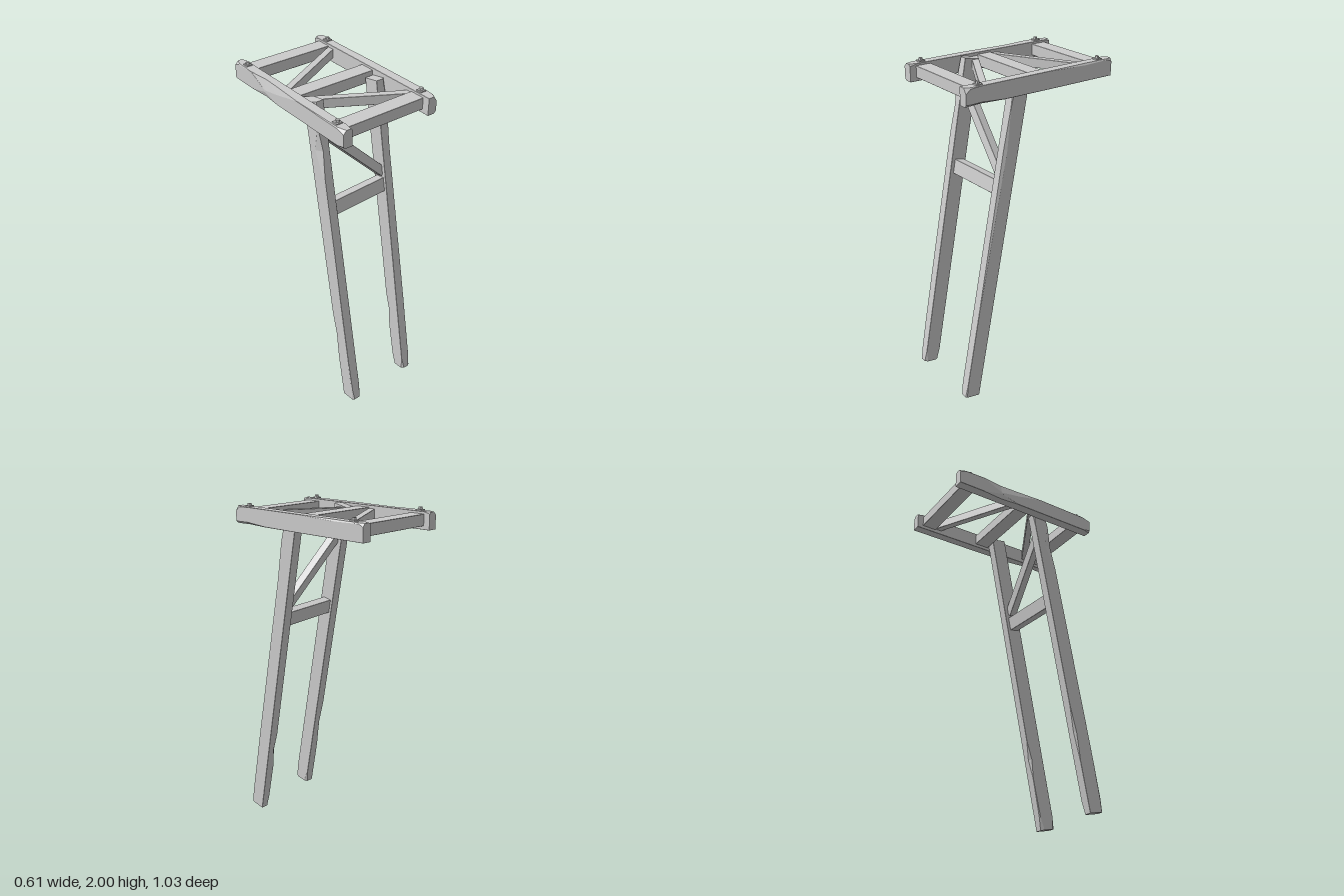
import * as THREE from 'three';

const material = new THREE.MeshStandardMaterial({ color: 0xcccccc, flatShading: true });
const V = (x, y, z) => new THREE.Vector3(x, y, z);
const SIGNS = [[1, 1], [-1, 1], [-1, -1], [1, -1]];

// Hewn beam between two points: rectangular section whose four corners can be
// chipped. Each station is [t, { corner: [cutAcross, cutUp] }].
function beam(name, from, to, width, height, up, stations = [[0, {}], [1, {}]]) {
  const along = to.clone().sub(from).normalize();
  const u = up.clone().cross(along).normalize();
  const v = along.clone().cross(u);
  const rings = stations.map(([t, cuts]) => {
    const centre = from.clone().lerp(to, t);
    const ring = [];
    SIGNS.forEach(([su, sv], i) => {
      const [cu, cv] = cuts[i] || [0.001, 0.001];
      const pair = [
        [su * width / 2, sv * (height / 2 - cv)],
        [su * (width / 2 - cu), sv * height / 2],
      ];
      if (su * sv < 0) pair.reverse();
      pair.forEach(([a, b]) => ring.push(centre.clone().addScaledVector(u, a).addScaledVector(v, b)));
    });
    return ring;
  });
  const pos = [];
  const tri = (...p) => p.forEach((q) => pos.push(q.x, q.y, q.z));
  for (let k = 0; k < rings.length - 1; k++) {
    for (let i = 0; i < 8; i++) {
      const j = (i + 1) % 8;
      tri(rings[k][i], rings[k][j], rings[k + 1][j]);
      tri(rings[k][i], rings[k + 1][j], rings[k + 1][i]);
    }
  }
  const first = rings[0], last = rings[rings.length - 1];
  for (let i = 1; i < 7; i++) {
    tri(first[0], first[i + 1], first[i]);
    tri(last[0], last[i], last[i + 1]);
  }
  const geometry = new THREE.BufferGeometry();
  geometry.setAttribute('position', new THREE.Float32BufferAttribute(pos, 3));
  geometry.computeVertexNormals();
  const mesh = new THREE.Mesh(geometry, material);
  mesh.name = name;
  return mesh;
}

function bolt(x, z) {
  const group = new THREE.Group();
  group.name = 'bolt';
  const plate = new THREE.Mesh(new THREE.BoxGeometry(0.036, 0.008, 0.036), material);
  plate.name = 'boltPlate';
  plate.position.y = 0.003;
  const head = new THREE.Mesh(new THREE.CylinderGeometry(0.011, 0.013, 0.014, 6), material);
  head.name = 'boltHead';
  head.position.y = 0.013;
  group.add(plate, head);
  group.position.set(x, 1.98, z);
  return group;
}

export function createModel() {
  const model = new THREE.Group();
  model.name = 'timberFrame';
  const UP = V(0, 1, 0), FRONT = V(0, 0, 1);

  // Long side rails, chipped at the ends and along the edges
  model.add(beam('leftRail', V(0.277, 1.93, -0.51), V(0.277, 1.93, 0.477), 0.056, 0.1, UP, [
    [0, { 0: [0.012, 0.02], 1: [0.012, 0.01] }],
    [0.03, { 0: [0.004, 0.006] }],
    [0.2, { 0: [0.006, 0.01] }],
    [0.45, {}],
    [0.75, { 3: [0.004, 0.003] }],
    [0.9, { 3: [0.022, 0.014] }],
    [0.97, { 0: [0.006, 0.006], 3: [0.014, 0.012] }],
    [1, { 0: [0.02, 0.03], 3: [0.014, 0.014] }],
  ]));
  model.add(beam('rightRail', V(-0.278, 1.93, -0.51), V(-0.278, 1.93, 0.473), 0.058, 0.1, UP, [
    [0, { 0: [0.012, 0.01], 1: [0.02, 0.02] }],
    [0.04, { 1: [0.004, 0.006] }],
    [0.17, {}],
    [0.3, { 1: [0.014, 0.06], 2: [0.01, 0.03] }],
    [0.42, { 1: [0.01, 0.04] }],
    [0.6, {}],
    [0.95, { 1: [0.005, 0.006] }],
    [1, { 1: [0.02, 0.02], 0: [0.01, 0.012], 2: [0.012, 0.012] }],
  ]));

  // Top cross beams and flat diagonals
  for (const z of [-0.425, -0.022, 0.387]) {
    model.add(beam('crossBeam', V(-0.255, 1.934, z), V(0.255, 1.934, z), 0.093, 0.066, UP));
  }
  for (const [z0, z1] of [[-0.086, -0.362], [0.042, 0.333]]) {
    model.add(beam('topDiagonal', V(-0.255, 1.934, z0), V(0.255, 1.934, z1), 0.04, 0.054, UP));
  }

  // Bolts on the rail corners
  for (const x of [-0.277, 0.276]) for (const z of [-0.424, 0.387]) model.add(bolt(x, z));

  // Leaning legs, with worn edges and feet
  model.add(beam('leftLeg', V(0.221, 0.01, 0.4425), V(0.221, 1.95, 0.078), 0.058, 0.097, FRONT, [
    [0, { 0: [0.012, 0.015], 3: [0.014, 0.02], 1: [0.008, 0.008] }],
    [0.04, { 3: [0.005, 0.006] }],
    [0.16, {}],
    [0.22, { 3: [0.018, 0.014] }],
    [0.28, {}],
    [0.8, { 1: [0.008, 0.02] }],
    [0.92, {}],
    [1, { 1: [0.012, 0.012] }],
  ]));
  model.add(beam('rightLeg', V(-0.214, 0.03, 0.4675), V(-0.214, 1.97, 0.103), 0.058, 0.097, FRONT, [
    [0, { 0: [0.012, 0.012], 1: [0.01, 0.02], 2: [0.012, 0.02] }],
    [0.04, { 0: [0.004, 0.006] }],
    [0.15, {}],
    [0.24, { 3: [0.014, 0.012] }],
    [0.32, {}],
    [0.78, { 0: [0.005, 0.01] }],
    [0.86, { 0: [0.016, 0.05] }],
    [0.93, {}],
    [1, { 0: [0.014, 0.016], 3: [0.012, 0.012] }],
  ]));

  // Braces between the legs, tilted to match their lean
  const lean = V(0, 1, -0.188);
  model.add(beam('legCrossBar', V(-0.19, 1.34, 0.218), V(0.197, 1.335, 0.195), 0.058, 0.086, lean));
  model.add(beam('legDiagonal', V(-0.193, 1.795, 0.137), V(0.2, 1.408, 0.18), 0.05, 0.054, lean));
  return model;
}
